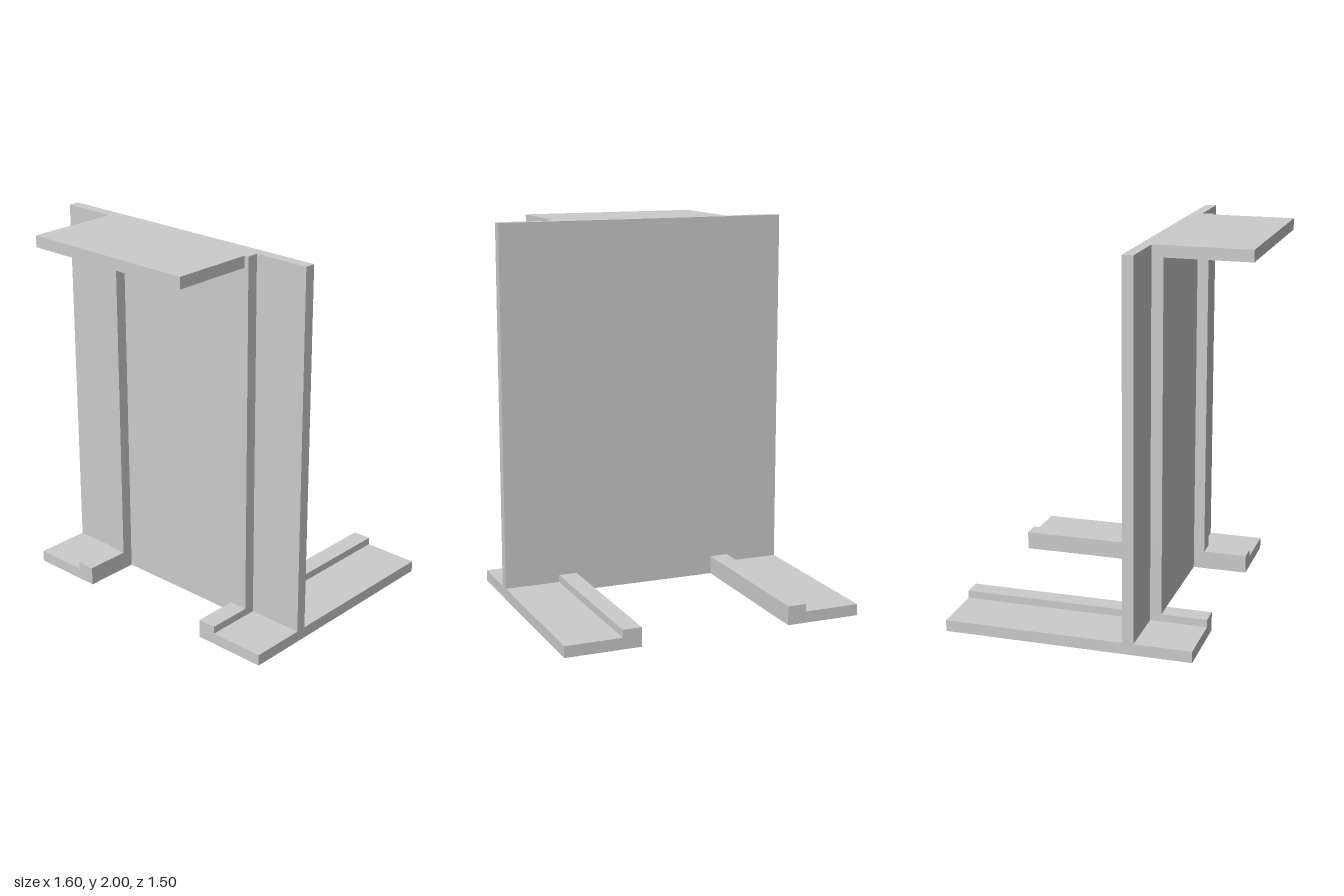
import * as THREE from 'three';

const material = new THREE.MeshStandardMaterial({ color: 0xcccccc, flatShading: true });

// Box given by its lower and upper bounds on each axis
function slab(name, [x0, x1], [y0, y1], [z0, z1]) {
  const mesh = new THREE.Mesh(new THREE.BoxGeometry(x1 - x0, y1 - y0, z1 - z0), material);
  mesh.position.set((x0 + x1) / 2, (y0 + y1) / 2, (z0 + z1) / 2);
  mesh.name = name;
  return mesh;
}

// Long foot with an L-shaped section: flat plate and raised inner lip
function foot(name, side) {
  const section = new THREE.Shape(
    [[0.4, 0], [0.8, 0], [0.8, 0.06], [0.5, 0.06], [0.5, 0.1], [0.4, 0.1]]
      .map(([x, y]) => new THREE.Vector2(side * x, y))
  );
  const geometry = new THREE.ExtrudeGeometry(section, { depth: 1.3, bevelEnabled: false });
  geometry.translate(0, 0, -0.75);
  const mesh = new THREE.Mesh(geometry, material);
  mesh.name = name;
  return mesh;
}

export function createModel() {
  const model = new THREE.Group();
  model.name = 'uprightStand';

  // Upright panel
  model.add(slab('panel', [-0.8, 0.8], [0, 2], [0.193, 0.25]));

  // Feet and the vertical ribs above their lips
  for (const [label, side] of [['left', 1], ['right', -1]]) {
    model.add(foot(label + 'Foot', side));
    const rib = slab(label + 'Rib', [0.4, 0.5], [0.1, 2], [0.25, 0.31]);
    rib.position.x *= side;
    model.add(rib);
  }

  // Top shelf, slightly short of the left rib's outer edge
  model.add(slab('topShelf', [-0.5, 0.475], [1.94, 2], [0.25, 0.75]));

  return model;
}
